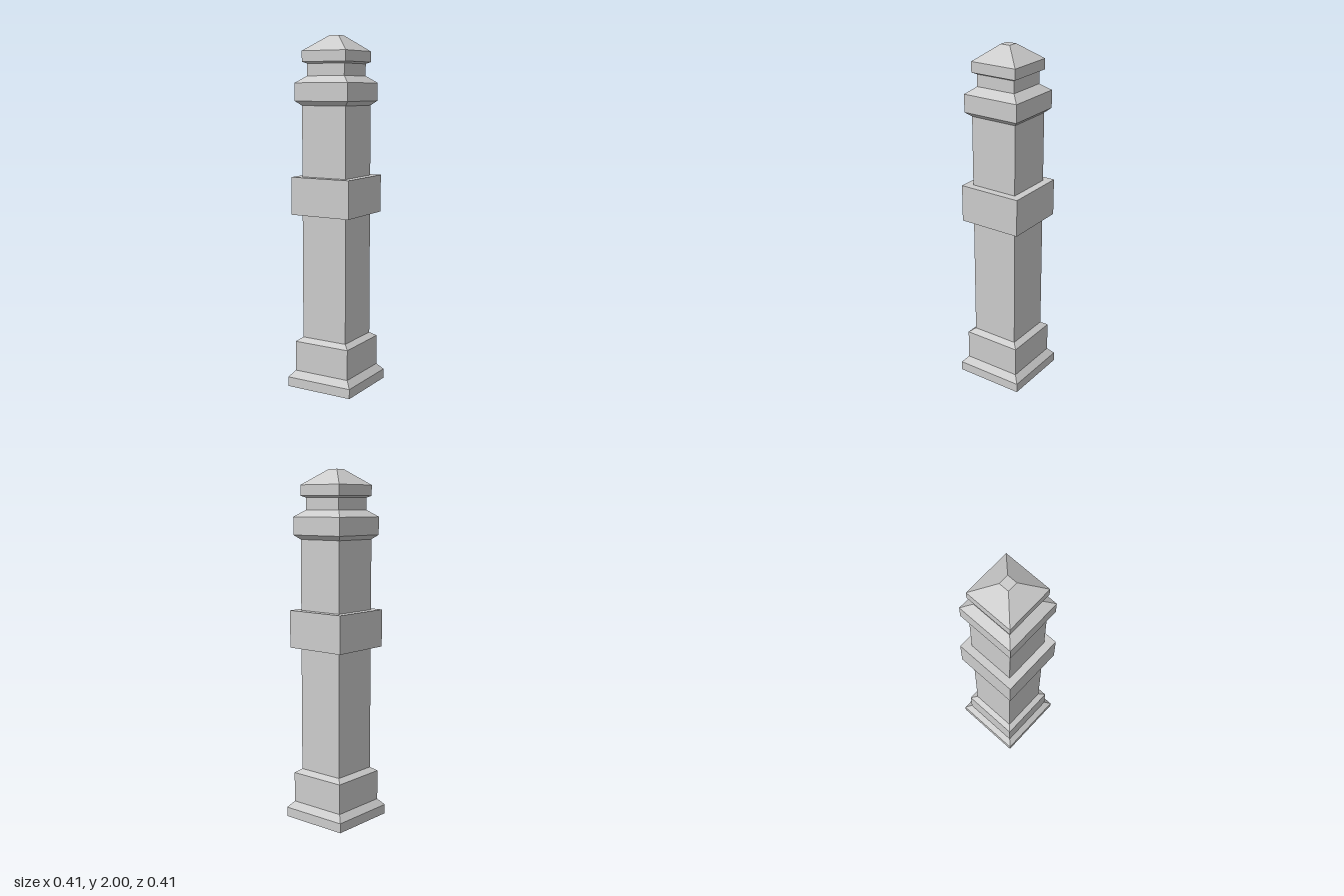
import * as THREE from 'three';

const material = new THREE.MeshStandardMaterial({ color: 0xcccccc, flatShading: true });

// Square moulding: a four-sided lathe through [half width, height] pairs, closed at both ends
function squareMoulding(name, profile) {
  const points = profile.map(([half, y]) => new THREE.Vector2(half * Math.SQRT2, y));
  points.unshift(new THREE.Vector2(0, profile[0][1]));
  points.push(new THREE.Vector2(0, profile[profile.length - 1][1]));
  const mesh = new THREE.Mesh(new THREE.LatheGeometry(points, 4, Math.PI / 4), material);
  mesh.name = name;
  return mesh;
}

export function createModel() {
  const pillar = new THREE.Group();
  pillar.name = 'pillar';
  pillar.add(
    // Stepped foot with sloped shoulders
    squareMoulding('base', [[0.204, 0], [0.204, 0.055], [0.172, 0.092], [0.172, 0.265], [0.14, 0.288]]),
    // Plain square post
    squareMoulding('shaft', [[0.14, 0.288], [0.14, 1.615]]),
    // Wide band around the post
    squareMoulding('collar', [[0.185, 1.005], [0.185, 1.218]]),
    // Flared block below the neck
    squareMoulding('capital', [[0.14, 1.615], [0.169, 1.64], [0.169, 1.74], [0.119, 1.778]]),
    squareMoulding('neck', [[0.119, 1.778], [0.119, 1.845]]),
    // Low pyramid with a flat tip
    squareMoulding('cap', [[0.119, 1.845], [0.14, 1.855], [0.14, 1.914], [0.029, 2]])
  );
  return pillar;
}
